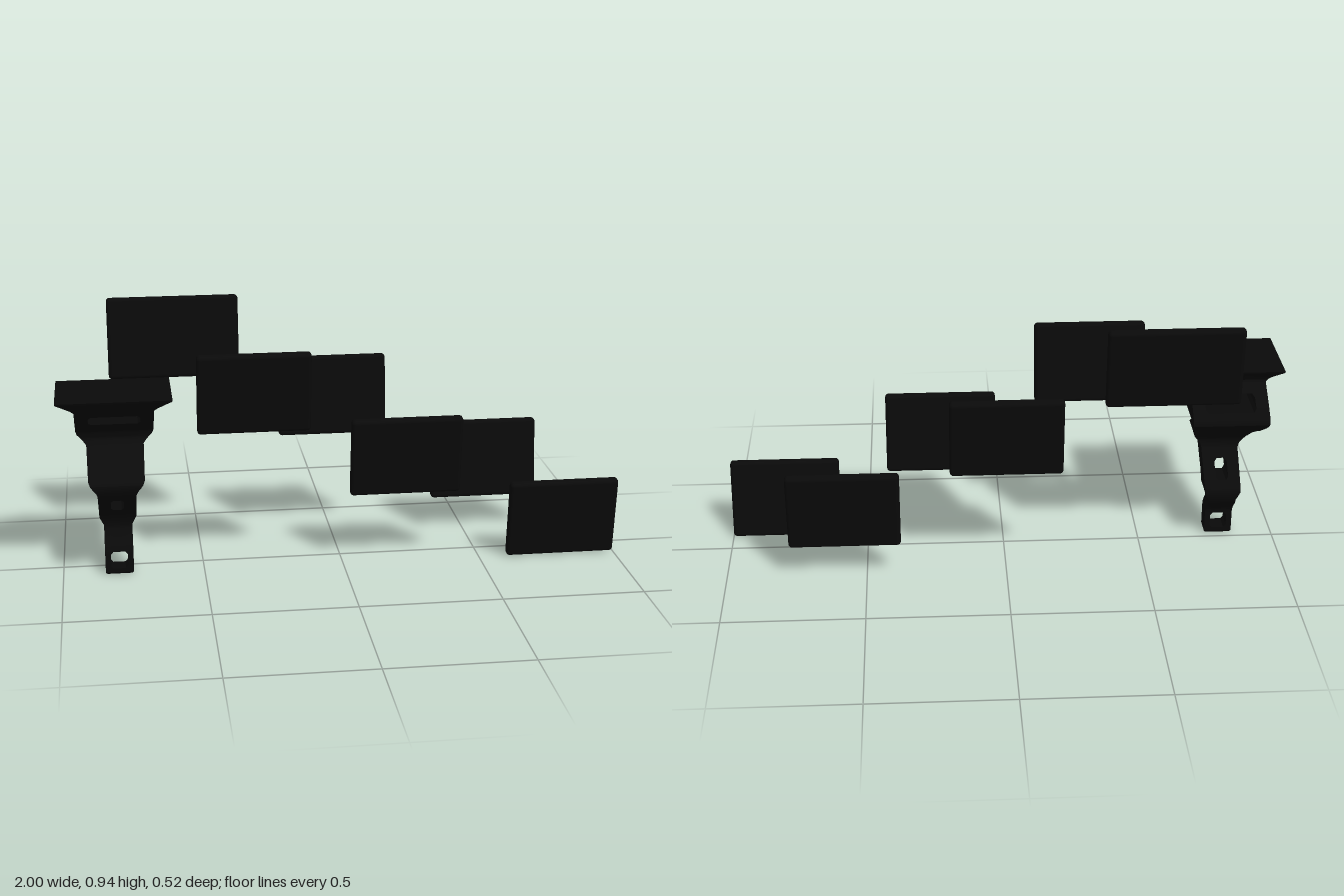
import * as THREE from 'three';
import { toCreasedNormals } from 'three/addons/utils/BufferGeometryUtils.js';
import { RoundedBoxGeometry } from 'three/addons/geometries/RoundedBoxGeometry.js';

const material = new THREE.MeshStandardMaterial({ color: 0x0a0a0a });

// Zigzag stand: [height, value] outlines for front z, back z and half width
const FRONT = [[0, 0.085], [0.008, 0.093], [0.085, 0.093], [0.11, 0.085], [0.15, 0.048], [0.17, 0.043], [0.19, 0.05],
  [0.21, 0.062], [0.245, 0.09], [0.28, 0.135], [0.325, 0.19], [0.34, 0.203], [0.36, 0.213], [0.372, 0.213],
  [0.385, 0.2], [0.45, 0.09], [0.475, 0.058], [0.487, 0.048], [0.5, 0.046], [0.52, 0.053], [0.545, 0.072],
  [0.585, 0.14], [0.635, 0.2], [0.678, 0.256], [0.685, 0.26]];
const BACK = [[0, 0.032], [0.008, 0.026], [0.095, 0.026], [0.11, 0.018], [0.155, -0.025], [0.175, -0.034],
  [0.205, -0.04], [0.218, -0.036], [0.23, -0.022], [0.32, 0.075], [0.34, 0.086], [0.36, 0.085], [0.378, 0.074],
  [0.43, -0.002], [0.485, -0.098], [0.505, -0.119], [0.522, -0.131], [0.535, -0.13], [0.55, -0.119],
  [0.575, -0.088], [0.632, -0.002], [0.64, 0.001], [0.65, -0.004], [0.678, -0.033], [0.685, -0.036]];
const WIDTH = [[0, 0.044], [0.008, 0.05], [0.17, 0.05], [0.185, 0.057], [0.205, 0.065], [0.33, 0.067], [0.345, 0.072],
  [0.37, 0.09], [0.385, 0.097], [0.475, 0.1], [0.495, 0.118], [0.51, 0.131], [0.525, 0.136], [0.632, 0.136],
  [0.645, 0.148], [0.665, 0.175], [0.68, 0.197], [0.685, 0.198]];

// Openings cut through from front to back: bottom, top, half width
const HOLES = [[0.022, 0.085, 0.03], [0.24, 0.3, 0.023], [0.56, 0.606, 0.09]];
const HOLE_WIDTH = HOLES.flatMap(([a, b, h]) => [[a, h - 0.009], [a + 0.01, h], [b - 0.01, h], [b, h - 0.009]]);

function at(table, y) {
  if (y <= table[0][0]) return table[0][1];
  for (let i = 1; i < table.length; i++) {
    const [y0, v0] = table[i - 1], [y1, v1] = table[i];
    if (y <= y1) return v0 + (v1 - v0) * (y - y0) / (y1 - y0);
  }
  return table[table.length - 1][1];
}

function standGeometry() {
  const ys = [...new Set([FRONT, BACK, WIDTH, HOLE_WIDTH].flatMap(t => t.map(p => p[0])))].sort((a, b) => a - b);
  const levels = ys.map(y => {
    const w = at(WIDTH, y), h = at(HOLE_WIDTH, y);
    return { y, f: at(FRONT, y), b: at(BACK, y), x: [-w, -h, h, w] };
  });
  const pos = [];
  const quad = (a, b, c, d, flip) => {
    const q = flip ? [a, d, c, b] : [a, b, c, d];
    for (const i of [0, 1, 2, 0, 2, 3]) pos.push(...q[i]);
  };
  // front or back strip between two columns
  const face = (l, u, i, side) => quad([l.x[i], l.y, l[side]], [l.x[i + 1], l.y, l[side]],
    [u.x[i + 1], u.y, u[side]], [u.x[i], u.y, u[side]], side === 'b');
  // wall facing +x, or -x when flipped
  const wall = (l, u, i, flip) => quad([l.x[i], l.y, l.b], [u.x[i], u.y, u.b],
    [u.x[i], u.y, u.f], [l.x[i], l.y, l.f], flip);
  // level surface facing up, or down when flipped
  const cap = (l, i, j, flip) => {
    for (let k = i; k < j; k++) quad([l.x[k], l.y, l.b], [l.x[k], l.y, l.f],
      [l.x[k + 1], l.y, l.f], [l.x[k + 1], l.y, l.b], flip);
  };
  for (let n = 0; n + 1 < levels.length; n++) {
    const l = levels[n], u = levels[n + 1], mid = (l.y + u.y) / 2;
    const open = HOLES.some(([a, b]) => mid > a && mid < b);
    for (const i of open ? [0, 2] : [0, 1, 2]) {
      face(l, u, i, 'f');
      face(l, u, i, 'b');
    }
    wall(l, u, 3, false);
    wall(l, u, 0, true);
    if (open) {
      wall(l, u, 1, false);
      wall(l, u, 2, true);
    }
  }
  for (const l of levels) {
    if (HOLES.some(h => h[0] === l.y)) cap(l, 1, 2, false);
    if (HOLES.some(h => h[1] === l.y)) cap(l, 1, 2, true);
  }
  cap(levels[0], 0, 3, true);
  cap(levels[levels.length - 1], 0, 3, false);
  const g = new THREE.BufferGeometry();
  g.setAttribute('position', new THREE.Float32BufferAttribute(pos, 3));
  return toCreasedNormals(g, 0.6);
}

export function createModel() {
  const group = new THREE.Group();

  const stand = new THREE.Mesh(standGeometry(), material);
  stand.name = 'zigzagStand';
  stand.position.x = -0.801;
  group.add(stand);

  // Tilted floating panels: name, x centre, y centre, z centre, width, tilt
  const panels = [
    ['backPanelHigh', -0.578, 0.789, -0.204, 0.47, -0.09],
    ['backPanelMiddle', 0, 0.545, -0.224, 0.398, -0.09],
    ['backPanelLow', 0.575, 0.274, -0.225, 0.398, -0.09],
    ['frontPanelHigh', -0.317, 0.664, 0.135, 0.398, 0.145],
    ['frontPanelMiddle', 0.224, 0.406, 0.112, 0.398, 0.145],
    ['frontPanelLow', 0.8, 0.148, 0.112, 0.398, 0.145],
  ];
  for (const [name, x, y, z, width, tilt] of panels) {
    const panel = new THREE.Mesh(new RoundedBoxGeometry(width, 0.293, 0.037, 4, 0.013), material);
    panel.name = name;
    panel.position.set(x, y, z);
    panel.rotation.x = tilt;
    group.add(panel);
  }
  return group;
}
